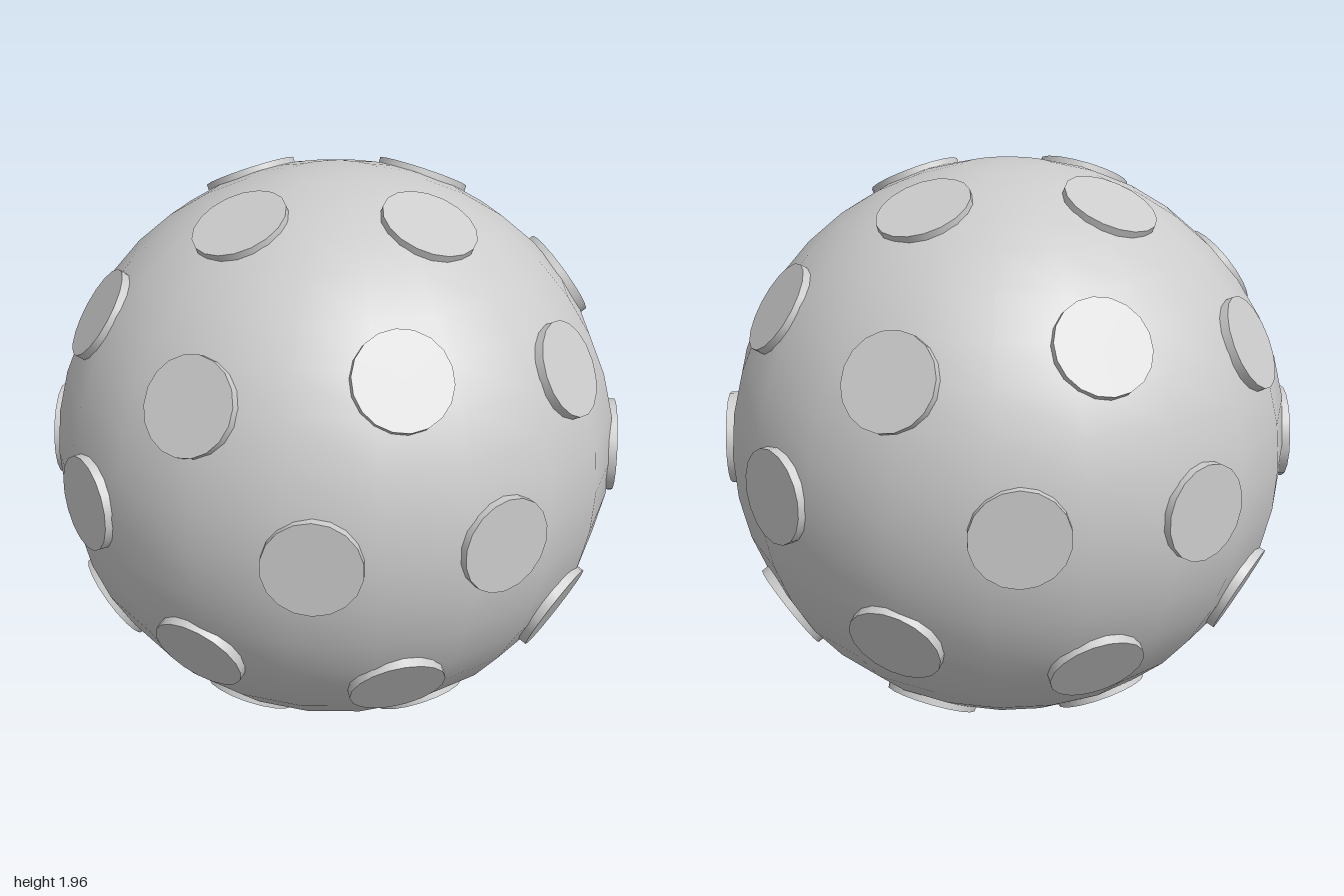
import * as THREE from 'three';

const RADIUS = 0.982; // body radius, also the height of its centre
const FACE = 0.988; // distance of each disc's flat face from the centre
const DISC_RADIUS = 0.162;
const DISC_DEPTH = 0.06;

// One quarter of the layout: [azimuth from +z, elevation] in degrees
const UPPER = [[0, 64], [14.8, 26.8], [-30, 33.6]];
const EQUATOR = [[-11.4, 0], [41.4, 0]];

export function createModel() {
  const model = new THREE.Group();
  model.name = 'studdedBall';
  const material = new THREE.MeshStandardMaterial({ color: 0xcccccc });

  // Ball body
  const ball = new THREE.Mesh(new THREE.SphereGeometry(RADIUS, 20, 20), material);
  ball.name = 'ball';
  ball.position.y = RADIUS;
  model.add(ball);

  // Flat discs set into the surface
  const discs = new THREE.Group();
  discs.name = 'discs';
  discs.position.y = RADIUS;
  model.add(discs);

  // Disc faces +z, with its outer face at the origin
  const discGeometry = new THREE.CylinderGeometry(DISC_RADIUS, DISC_RADIUS, DISC_DEPTH, 18)
    .rotateX(Math.PI / 2)
    .translate(0, 0, -DISC_DEPTH / 2);

  const addDisc = (azimuth, elevation) => {
    const a = THREE.MathUtils.degToRad(azimuth);
    const e = THREE.MathUtils.degToRad(elevation);
    const disc = new THREE.Mesh(discGeometry, material);
    disc.name = 'disc';
    disc.rotation.set(-e, a, 0, 'YXZ');
    disc.position.set(Math.cos(e) * Math.sin(a), Math.sin(e), Math.cos(e) * Math.cos(a)).multiplyScalar(FACE);
    discs.add(disc);
  };

  // Repeat the quarter four times, mirroring the upper rows below the equator
  for (let quarter = 0; quarter < 4; quarter++) {
    const turn = quarter * 90;
    for (const [a, e] of EQUATOR) addDisc(a + turn, e);
    for (const [a, e] of UPPER) {
      addDisc(a + turn, e);
      addDisc(a + turn, -e);
    }
  }
  return model;
}
